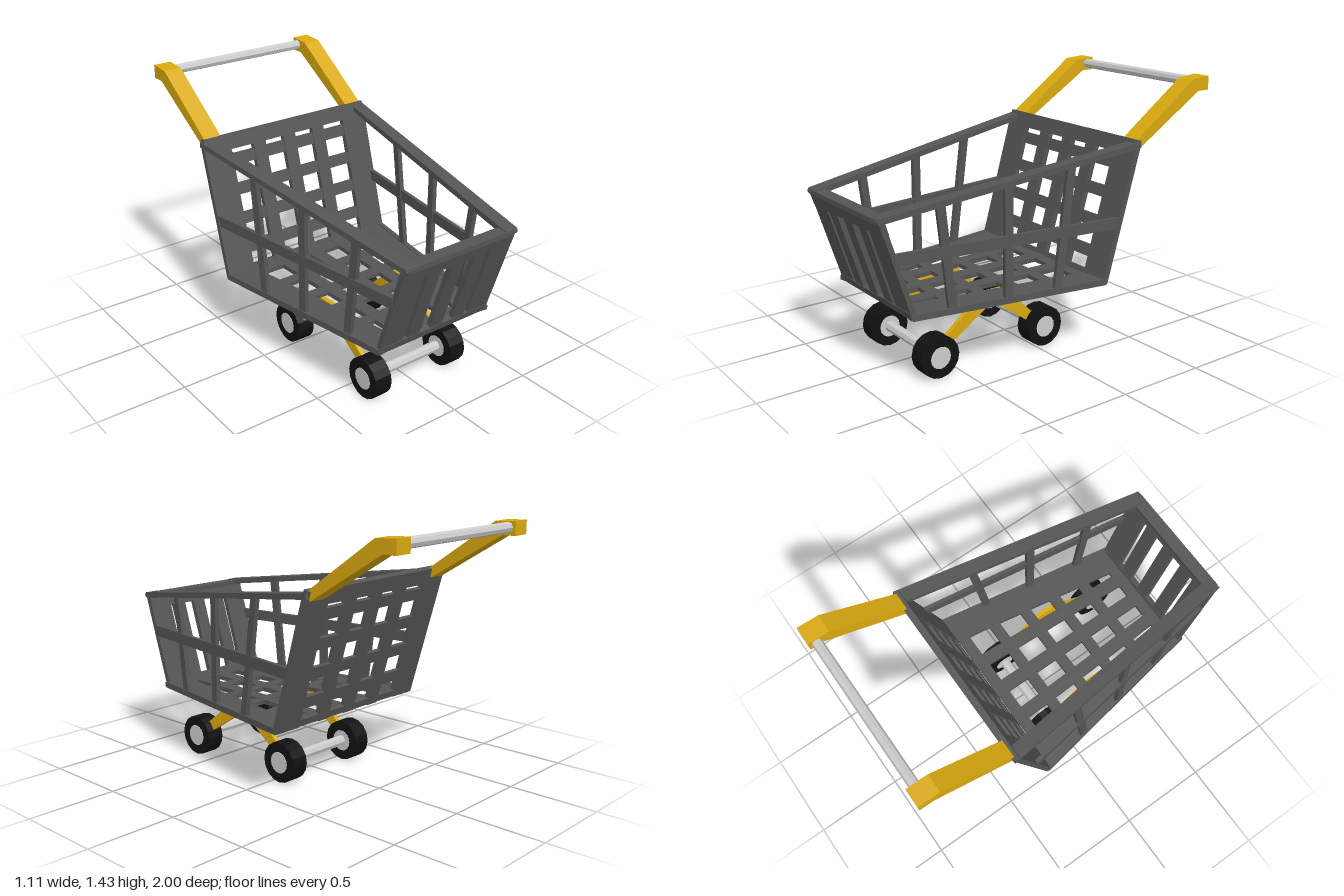
import * as THREE from 'three';

const paint = (color) => new THREE.MeshStandardMaterial({ color, flatShading: true });
const V = (x, y, z) => new THREE.Vector3(x, y, z);
const lerp = THREE.MathUtils.lerp;

export function createModel() {
  const model = new THREE.Group();
  const plastic = paint(0x555555), yellow = paint(0xd9a90f), rubber = paint(0x111111), metal = paint(0xcccccc);

  const add = (parent, name, geometry, material) => {
    const mesh = new THREE.Mesh(geometry, material);
    mesh.name = name;
    parent.add(mesh);
    return mesh;
  };
  const section = (name) => {
    const g = new THREE.Group();
    g.name = name;
    model.add(g);
    return g;
  };
  // flat slat from a to b: w across the panel, t along the panel normal
  const slat = (parent, name, a, b, normal, w, t) => {
    const dir = b.clone().sub(a);
    const length = dir.length();
    dir.normalize();
    const across = dir.clone().cross(normal).normalize();
    const out = across.clone().cross(dir);
    const m = new THREE.Matrix4().makeBasis(across, dir, out);
    m.setPosition(a.clone().add(b).multiplyScalar(0.5));
    add(parent, name, new THREE.BoxGeometry(w, length, t).applyMatrix4(m), plastic);
  };

  // basket outline
  const yLow = 0.395, backTop = 1.11, frontTop = 0.91;
  const backZ = (y) => -0.265 - (y - yLow) * 0.288;
  const frontZ = (y) => 0.81 + (y - yLow) * 0.32;
  const halfLow = (z) => lerp(0.55, 0.36, (z + 0.26) / 1.08);
  const halfTop = (z) => lerp(0.55, 0.36, (z + 0.48) / 1.46);
  const topY = (z) => lerp(backTop, frontTop, (z + 0.48) / 1.46);
  const up = V(0, 1, 0);

  // floor grid
  const floor = section('basketFloor');
  for (const [xb, xf, w] of [[0, 0, 0.08], [0.2, 0.15, 0.075], [-0.2, -0.15, 0.075], [0.465, 0.285, 0.16], [-0.465, -0.285, 0.16]])
    slat(floor, 'floorSlat', V(xb, yLow, -0.26), V(xf, yLow, 0.82), up, w, 0.025);
  for (const z of [-0.215, -0.02, 0.18, 0.37, 0.56, 0.765]) {
    const h = halfLow(z) - 0.02;
    slat(floor, 'floorCrossbar', V(-h, yLow, z), V(h, yLow, z), up, 0.065, 0.022);
  }

  // back panel
  const back = section('backPanel');
  const backN = V(0, -0.288, -1).normalize();
  for (const [x, w] of [[0, 0.08], [0.2, 0.08], [-0.2, 0.08], [0.465, 0.165], [-0.465, 0.165]])
    slat(back, 'backSlat', V(x, 0.385, backZ(0.385)), V(x, 1.1, backZ(1.1)), backN, w, 0.03);
  for (const [y, w] of [[0.405, 0.04], [0.52, 0.065], [0.68, 0.065], [0.84, 0.065], [1.0, 0.065], [1.097, 0.085]])
    slat(back, 'backCrossbar', V(-0.54, y, backZ(y)), V(0.54, y, backZ(y)), backN, w, y > 1.05 ? 0.036 : 0.022);

  // front panel
  const front = section('frontPanel');
  const frontN = V(0, -0.32, 1).normalize();
  for (const [x, w] of [[0, 0.08], [0.15, 0.08], [-0.15, 0.08], [0.288, 0.14], [-0.288, 0.14]])
    slat(front, 'frontSlat', V(x, 0.385, frontZ(0.385)), V(x, 0.9, frontZ(0.9)), frontN, w, 0.028);
  for (const [y, w] of [[0.405, 0.04], [0.87, 0.075]])
    slat(front, 'frontRail', V(-0.355, y, frontZ(y)), V(0.355, y, frontZ(y)), frontN, w, 0.034);
  slat(front, 'frontRim', V(-0.34, 0.908, 0.963), V(0.34, 0.908, 0.963), up, 0.07, 0.026);

  for (const s of [1, -1]) {
    // side walls
    const side = section(s > 0 ? 'leftSide' : 'rightSide');
    const out = V(s, 0, 0.16).normalize();
    for (const [zTop, zLow] of [[0.67, 0.605], [0.3, 0.3], [-0.065, 0.02]])
      slat(side, 'sideUpright', V(s * (halfLow(zLow) - 0.016), yLow, zLow), V(s * (halfTop(zTop) - 0.016), topY(zTop), zTop), out, 0.046, 0.025);
    slat(side, 'sideBand', V(s * 0.535, 0.708, backZ(0.708)), V(s * 0.35, 0.708, frontZ(0.708)), out, 0.06, 0.022);
    slat(side, 'bottomRail', V(s * 0.535, yLow, -0.27), V(s * 0.35, yLow, 0.82), out, 0.034, 0.03);
    slat(side, 'topRim', V(s * 0.515, backTop + 0.002, -0.49), V(s * 0.322, frontTop, 0.985), up, 0.076, 0.03);
    // rounded front end of the rim
    const cap = add(side, 'rimCorner', new THREE.CylinderGeometry(0.016, 0.016, 0.07, 8), plastic);
    cap.rotation.z = Math.PI / 2;
    cap.position.set(s * 0.324, frontTop, 0.984);

    // side profiles are drawn as (z, y) and extruded across x
    const profile = (name, points, x, width) => {
      const shape = new THREE.Shape(points.map(([z, y]) => new THREE.Vector2(-z, y)));
      const g = new THREE.ExtrudeGeometry(shape, { depth: width, bevelEnabled: false });
      g.translate(0, 0, -width / 2).rotateY(Math.PI / 2);
      add(model, name, g, yellow).position.x = x;
    };
    profile('handleArm', [[-0.46, 1.125], [-0.88, 1.42], [-1, 1.428], [-1, 1.352], [-0.925, 1.352], [-0.49, 1.085]], s * 0.478, 0.102);
    profile('wheelFork', [[0.65, 0.085], [0.61, 0.165], [0.33, 0.385], [0.21, 0.385], [-0.03, 0.165], [-0.07, 0.085],
      [0.0, 0.125], [0.27, 0.325], [0.58, 0.125]], s * 0.25, 0.026);

    // wheels with pale hubs
    for (const z of [0.63, -0.05]) {
      const wheel = section('wheel');
      wheel.position.set(s * 0.255, 0.113, z);
      wheel.rotation.z = Math.PI / 2;
      add(wheel, 'tyre', new THREE.CylinderGeometry(0.113, 0.113, 0.1, 16), rubber);
      add(wheel, 'hub', new THREE.CylinderGeometry(0.06, 0.06, 0.104, 16), metal);
    }
  }

  // handle bar and axles
  for (const [name, r, len, y, z] of [['handleBar', 0.028, 0.88, 1.393, -0.957], ['frontAxle', 0.03, 0.44, 0.115, 0.63], ['rearAxle', 0.03, 0.44, 0.115, -0.05]]) {
    const rod = add(model, name, new THREE.CylinderGeometry(r, r, len, 8), metal);
    rod.rotation.z = Math.PI / 2;
    rod.position.set(0, y, z);
  }
  return model;
}
